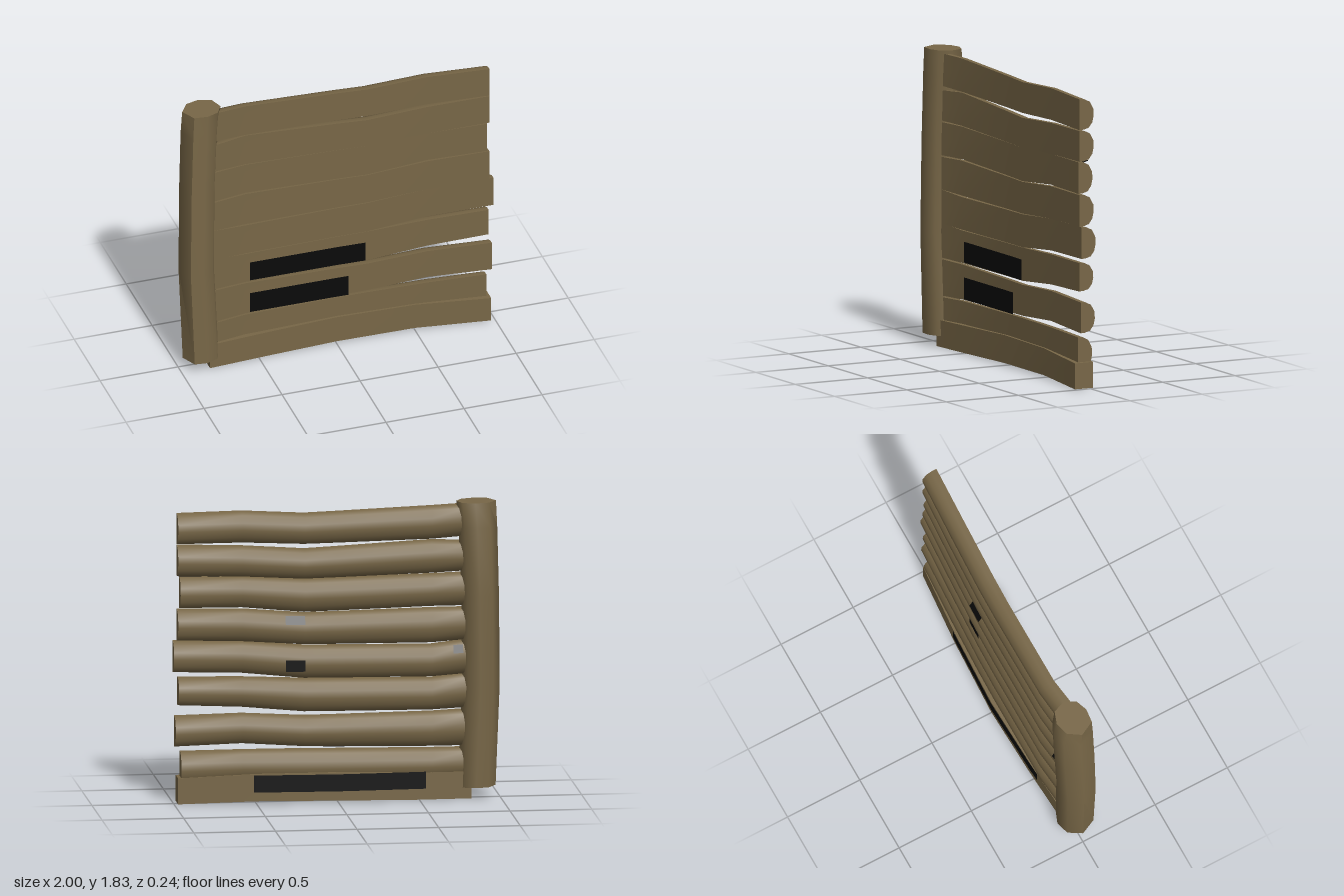
import * as THREE from 'three';
import { toCreasedNormals } from 'three/addons/utils/BufferGeometryUtils.js';

// Skin a list of equal-length rings and close both ends with fans.
function loft(rings, crease) {
  const n = rings[0].length, pos = [], index = [];
  rings.forEach(r => r.forEach(p => pos.push(...p)));
  for (let i = 0; i < rings.length - 1; i++) {
    for (let j = 0; j < n; j++) {
      const a = i * n + j, b = i * n + (j + 1) % n;
      index.push(a, b, a + n, b, b + n, a + n);
    }
  }
  const last = (rings.length - 1) * n;
  for (let j = 1; j < n - 1; j++) {
    index.push(0, j + 1, j, last, last + j, last + j + 1);
  }
  const g = new THREE.BufferGeometry();
  g.setAttribute('position', new THREE.Float32BufferAttribute(pos, 3));
  g.setIndex(index);
  return toCreasedNormals(g, crease);
}

// Linear interpolation through paired lists.
function sample(xs, vs, x) {
  let i = 0;
  while (i < xs.length - 2 && x > xs[i + 1]) i++;
  return vs[i] + (vs[i + 1] - vs[i]) * (x - xs[i]) / (xs[i + 1] - xs[i]);
}

// Sweep a [depth 0..1, height -1..1] section along a bowed beam.
function sweep(section, xs, tops, bottoms, front, back) {
  return loft(xs.map((x, i) => section.map(([d, v]) => [
    x,
    (tops[i] + bottoms[i]) / 2 + v * (tops[i] - bottoms[i]) / 2,
    front[i] + (back[i] - front[i]) * d,
  ])), 0.95);
}

// Thin painted strip following a bowed face; the offsets set its lower and upper edge depth.
function strip(x0, x1, y0, y1, xs, zs, offset0, offset1 = offset0) {
  const cuts = [x0, ...xs.filter(x => x > x0 && x < x1), x1];
  const pos = [], index = [];
  cuts.forEach((x, i) => {
    const z = sample(xs, zs, x);
    pos.push(x, y0, z + offset0, x, y1, z + offset1);
    const a = i * 2;
    if (i < cuts.length - 1) index.push(a, a + 2, a + 1, a + 1, a + 2, a + 3);
  });
  const g = new THREE.BufferGeometry();
  g.setAttribute('position', new THREE.Float32BufferAttribute(pos, 3));
  g.setIndex(index);
  g.computeVertexNormals();
  return g;
}

export function createModel() {
  const group = new THREE.Group();
  const wood = new THREE.MeshStandardMaterial({ color: 0x786747, name: 'wood' });
  const dark = new THREE.MeshStandardMaterial({ color: 0x0a0a0a, name: 'dark patch', side: THREE.DoubleSide });
  const add = (name, geometry, material = wood) => {
    const mesh = new THREE.Mesh(geometry, material);
    mesh.name = name;
    group.add(mesh);
  };

  // Split logs: flat at the front, rounded at the back
  const halfRound = [[0, 1], [0, -1], [0.3, -0.98], [0.65, -0.88], [0.9, -0.55],
    [1, -0.1], [0.97, 0.35], [0.72, 0.8], [0.35, 0.98]];
  const logXs = [-0.8, -0.58, 0, 0.2, 0.58];
  const logFront = [0.06, 0.03, 0.03, 0.035, 0.045, 0.062];
  const logBack = [-0.045, -0.068, -0.07, -0.067, -0.055, -0.035];
  // End x, then top and bottom heights at x = -0.8, -0.58, 0.2, 0.58, end
  const logs = [
    [0.975, [1.81, 1.805, 1.775, 1.795, 1.785], [1.61, 1.60, 1.585, 1.60, 1.595]],
    [0.975, [1.58, 1.595, 1.555, 1.58, 1.59], [1.395, 1.39, 1.37, 1.39, 1.40]],
    [0.96, [1.385, 1.385, 1.37, 1.39, 1.395], [1.18, 1.185, 1.165, 1.20, 1.20]],
    [0.975, [1.17, 1.175, 1.16, 1.19, 1.195], [0.97, 0.96, 0.965, 0.99, 1.0]],
    [1.0, [0.97, 0.95, 0.96, 0.99, 1.0], [0.76, 0.75, 0.757, 0.795, 0.805]],
    [0.97, [0.765, 0.745, 0.755, 0.77, 0.775], [0.55, 0.545, 0.55, 0.585, 0.60]],
    [0.99, [0.54, 0.535, 0.525, 0.545, 0.535], [0.315, 0.32, 0.335, 0.36, 0.345]],
    [0.955, [0.305, 0.31, 0.32, 0.32, 0.315], [0.11, 0.11, 0.11, 0.12, 0.11]],
  ];
  const keyXs = [-0.8, -0.58, 0.2, 0.58];
  logs.forEach(([end, tops, bottoms], i) => {
    const xs = [...logXs, end], keys = [...keyXs, end];
    const at = vs => xs.map(x => sample(keys, vs, x));
    add('log' + (i + 1), sweep(halfRound, xs, at(tops), at(bottoms), logFront, logBack));
  });

  // Square sill beam along the ground
  const square = [[0, 1], [0, -1], [1, -1], [1, 1]];
  const sillXs = [-0.82, -0.45, 0, 0.5, 0.975];
  const sillBack = [-0.045, -0.07, -0.09, -0.07, -0.03];
  add('sillBeam', sweep(square, sillXs, [0.165, 0.172, 0.185, 0.182, 0.16],
    [0, 0.003, 0.013, 0.016, 0], [0.075, 0.055, 0.045, 0.055, 0.095], sillBack));

  // Rough upright post: outline around its axis, shifted and scaled by height
  const outline = [[-0.13, 0], [-0.08, 0.105], [0.01, 0.115], [0.085, 0.085],
    [0.125, 0.01], [0.095, -0.085], [0.015, -0.115], [-0.075, -0.09]];
  const levels = [ // y, centre x, centre z, x scale, z scale
    [0.07, -0.857, 0.015, 0.91, 0.92], [0.7, -0.883, 0.01, 0.9, 0.98],
    [1.25, -0.877, 0, 0.9, 1.03], [1.68, -0.862, -0.003, 0.93, 1.01],
    [1.83, -0.853, 0.008, 0.95, 0.88],
  ];
  add('post', loft(levels.map(([y, cx, cz, sx, sz]) =>
    outline.map(([x, z]) => [cx + x * sx, y, cz + z * sz])), 0.95));

  // Dark patches on the front faces, log backs and sill back
  const fullXs = [...logXs, 0.98];
  add('frontPatchUpper', strip(-0.55, 0.19, 0.552, 0.68, fullXs, logFront, 0.003), dark);
  add('frontPatchLower', strip(-0.55, 0.08, 0.325, 0.46, fullXs, logFront, 0.003), dark);
  add('backPatchUpper', strip(0.2, 0.32, 1.1, 1.15, fullXs, logBack, -0.003, 0.024), dark);
  add('backPatchLower', strip(0.2, 0.32, 0.81, 0.88, fullXs, logBack, -0.003), dark);
  add('postSidePatch', strip(-0.77, -0.71, 0.9, 0.948, fullXs, logBack, -0.002, 0.024), dark);
  add('undersidePatch', strip(0.72, 0.97, 1.394, 1.403, fullXs, logBack, 0.067, 0.032), dark);
  add('sillPatch', strip(-0.54, 0.515, 0.07, 0.175, sillXs, sillBack, -0.003), dark);

  return group;
}
